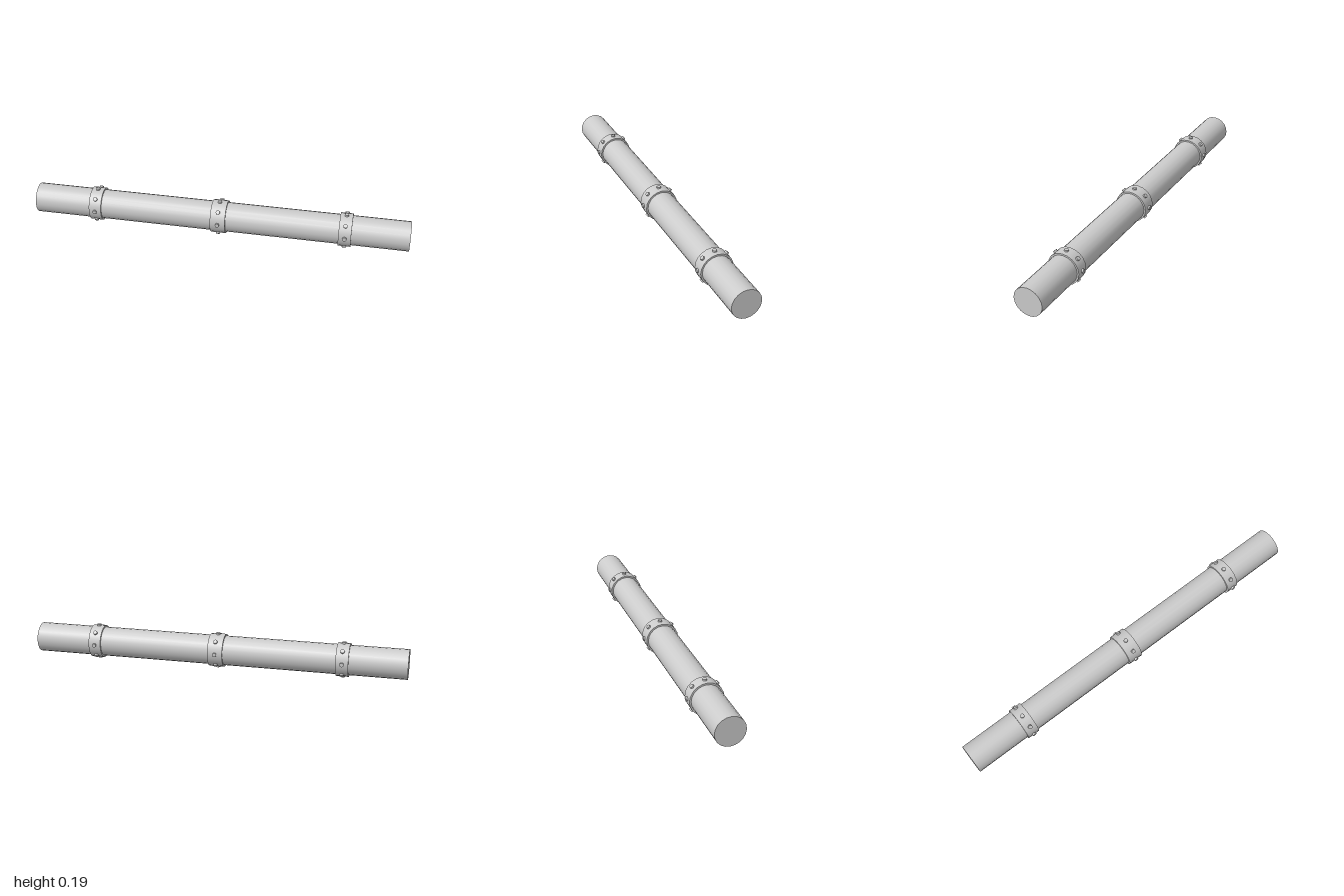
import * as THREE from 'three';

export function createModel() {
  const model = new THREE.Group();
  const material = new THREE.MeshStandardMaterial({ color: 0xcccccc });
  const axisY = 0.095;

  // Cylinder lying along x
  const rod = (name, radius, length, x) => {
    const geometry = new THREE.CylinderGeometry(radius, radius, length, 20).rotateZ(Math.PI / 2);
    const mesh = new THREE.Mesh(geometry, material);
    mesh.name = name;
    mesh.position.set(x, axisY, 0);
    return mesh;
  };

  // Main pipe
  model.add(rod('pipe', 0.0785, 2, 0));

  // Clamp bands, the middle one slightly wider, each with a ring of eight bolts
  const boltGeometry = new THREE.CylinderGeometry(0.011, 0.011, 0.02, 12).translate(0, 0.085, 0);
  for (const [side, x, width] of [['right', -0.667, 0.066], ['middle', 0, 0.08], ['left', 0.667, 0.066]]) {
    model.add(rod(side + 'Band', 0.0875, width, x));
    const bolts = new THREE.Group();
    bolts.name = side + 'Bolts';
    bolts.position.set(x, axisY, 0);
    for (let i = 0; i < 8; i++) {
      const bolt = new THREE.Mesh(boltGeometry, material);
      bolt.name = 'bolt';
      bolt.rotation.x = (i * Math.PI) / 4;
      bolts.add(bolt);
    }
    model.add(bolts);
  }
  return model;
}
